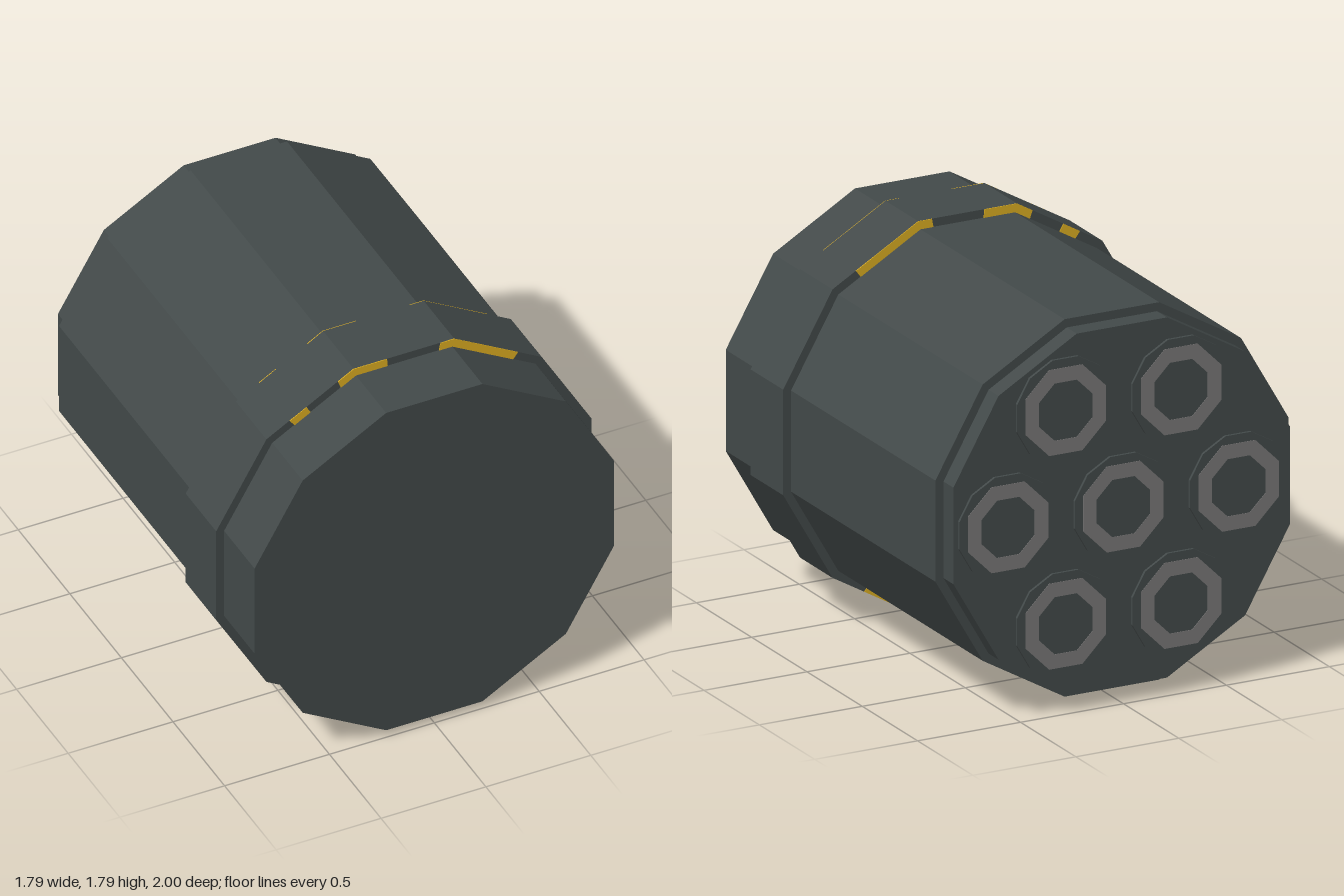
import * as THREE from 'three';

const CY = 0.895;                 // height of the long axis
const COS15 = Math.cos(Math.PI / 12);

function material(name, color) {
  const m = new THREE.MeshStandardMaterial({ color, flatShading: true });
  m.name = name;
  return m;
}

// Polygonal prism along z; apothem is the distance from axis to flat side
function prism(name, apothem, z0, z1, sides, mat) {
  const r = apothem / Math.cos(Math.PI / sides);
  const geo = new THREE.CylinderGeometry(r, r, z1 - z0, sides, 1, false, Math.PI / sides);
  geo.rotateX(Math.PI / 2);
  geo.translate(0, 0, (z0 + z1) / 2);
  const mesh = new THREE.Mesh(geo, mat);
  mesh.name = name;
  return mesh;
}

// Point on a regular 12-gon outline at an angle in degrees
function onOutline(apothem, deg) {
  const a = THREE.MathUtils.degToRad(deg);
  const side = Math.round(a / (Math.PI / 6)) * (Math.PI / 6);
  const r = apothem / Math.cos(a - side);
  return new THREE.Vector2(r * Math.cos(a), r * Math.sin(a));
}

// Piece of the band's rim between two angles, bending at the polygon corners
function rimPatch(inner, outer, from, to) {
  const angles = [from];
  for (let c = 15; c < 360; c += 30) if (c > from && c < to) angles.push(c);
  angles.push(to);
  return new THREE.Shape([
    ...angles.map(a => onOutline(outer, a)),
    ...angles.slice().reverse().map(a => onOutline(inner, a)),
  ]);
}

function polygonPath(PathType, apothem, sides) {
  const r = apothem / Math.cos(Math.PI / sides);
  const path = new PathType();
  path.setFromPoints(Array.from({ length: sides }, (_, i) => {
    const a = (i + 0.5) * 2 * Math.PI / sides;
    return new THREE.Vector2(r * Math.cos(a), r * Math.sin(a));
  }));
  path.closePath();
  return path;
}

export function createModel() {
  const group = new THREE.Group();
  group.name = 'canister';
  const dark = material('dark gunmetal', 0x434a4a);
  const yellow = material('warning yellow', 0xdfb022);
  const grey = material('mid grey', 0x7a7878);

  const axis = new THREE.Group();
  axis.name = 'canisterAssembly';
  axis.position.y = CY;
  group.add(axis);

  // Body, raised band and stepped rear lip
  axis.add(prism('body', 0.857, -0.895, 1, 12, dark));
  axis.add(prism('band', CY, 0.41, 0.705, 12, dark));
  axis.add(prism('rearLip', 0.818, -0.985, -0.89, 12, dark));

  // Worn yellow marks on both faces of the band
  const marks = [[53, 79], [95.2, 110.3], [121.3, 127.2], [260.3, 277.6], [291, 304]];
  for (const [from, to] of marks) {
    const geo = new THREE.ExtrudeGeometry(rimPatch(0.857, CY, from, to),
      { depth: 0.004, bevelEnabled: false });
    for (const z of [0.704, 0.407]) {
      const mark = new THREE.Mesh(geo, yellow);
      mark.name = 'bandMark';
      mark.position.z = z;
      axis.add(mark);
    }
  }

  // Seven tube ends: one in the middle, six around it
  const ringShape = polygonPath(THREE.Shape, 0.195, 8);
  ringShape.holes.push(polygonPath(THREE.Path, 0.13, 8));
  const ringGeo = new THREE.ExtrudeGeometry(ringShape, { depth: 0.004, bevelEnabled: false });
  for (let i = 0; i < 7; i++) {
    const tube = new THREE.Group();
    tube.name = 'tubeEnd';
    if (i > 0) {
      const a = i * Math.PI / 3;
      tube.position.set(0.56 * Math.cos(a), 0.56 * Math.sin(a), 0);
    }
    tube.add(prism('tubeCap', 0.235, -0.998, -0.98, 12, dark));
    const ring = new THREE.Mesh(ringGeo, grey);
    ring.name = 'tubeRing';
    ring.position.z = -1;
    tube.add(ring);
    axis.add(tube);
  }
  return group;
}
